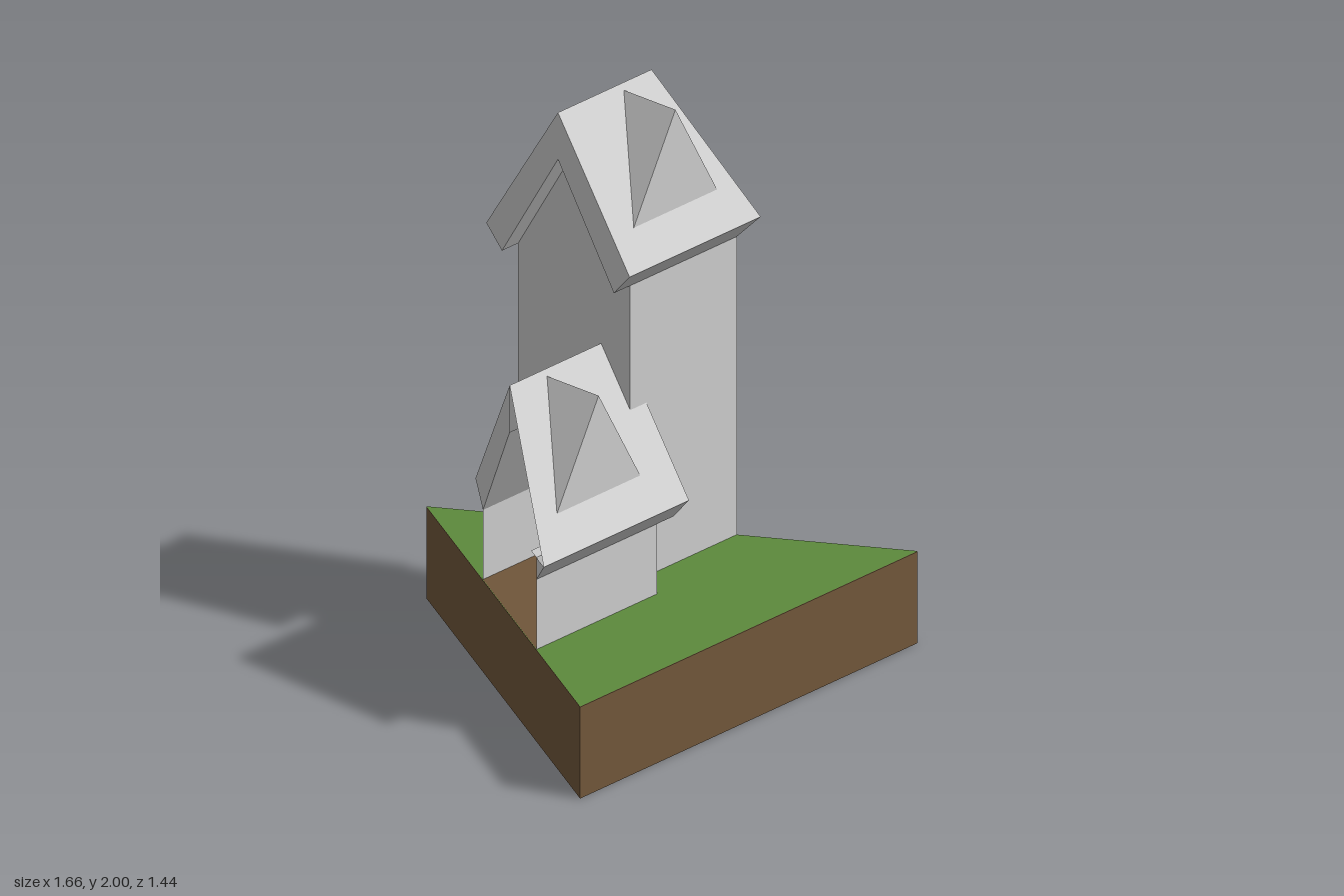
import * as THREE from 'three';

const mat = (color) => new THREE.MeshStandardMaterial({ color, flatShading: true, side: THREE.DoubleSide });
const grey = mat(0xcccccc), brown = mat(0x70563a), green = mat(0x5c8a3c);
const GROUND = 0.333, BACK = -0.72, FRONT = 0.72, SLOPE = 0.83 / 1.44;

// half width of the triangular plot at depth z: everything is sliced off there
const cut = (z) => SLOPE * (z - BACK);

// flat sheets, each a convex loop of [x, y, z] corners
function sheets(name, loops, material = grey) {
  const pos = [];
  for (const p of loops)
    for (let i = 1; i < p.length - 1; i++) pos.push(...p[0], ...p[i], ...p[i + 1]);
  const geo = new THREE.BufferGeometry();
  geo.setAttribute('position', new THREE.Float32BufferAttribute(pos, 3));
  geo.computeVertexNormals();
  const mesh = new THREE.Mesh(geo, material);
  mesh.name = name;
  return mesh;
}

// side: +1 or -1, zc: ridge depth, top: ridge height, dormerX: dormer centre (outward),
// backEnd: inner end of the rear roof slope, wallFrom: rear limit of the inner side wall
function building(name, { side, zc, top, dormerX, backEnd, wallFrom }) {
  const g = new THREE.Group();
  g.name = name;
  const P = (a, y, z) => [side * a, y, z];
  const end = -0.08, eaveY = top - 0.5, lowY = top - 0.58, innerY = top - 0.17;
  const zf = zc + 0.25, zb = zc - 0.25, ze = zc + 0.32, zr = zc - 0.32;
  const under = (z) => innerY - (Math.abs(z - zc) * (innerY - lowY)) / 0.25;

  // thin walls, open on the sliced side
  g.add(sheets('frontWall', [[P(0, GROUND, zf), P(cut(zf), GROUND, zf), P(cut(zf), eaveY, zf), P(0, eaveY, zf)]]));
  g.add(sheets('backWall', [[P(0, GROUND, zb), P(cut(zb), GROUND, zb), P(cut(zb), lowY, zb), P(0, lowY, zb)]]));
  const wall = [P(0, GROUND, zf), P(0, lowY, zf)];
  if (wallFrom < zc) wall.push(P(0, innerY, zc));
  wall.push(P(0, under(wallFrom), wallFrom), P(0, GROUND, wallFrom));
  g.add(sheets('sideWall', [wall]));
  g.add(sheets('wallLedge', [[P(0, eaveY, zf), P(cut(zf), eaveY, zf), P(cut(zf - 0.05), eaveY, zf - 0.05), P(0, eaveY, zf - 0.05)]]));
  const fy = GROUND + 0.004;
  g.add(sheets('floor', [[P(0, fy, zf), P(cut(zf), fy, zf), P(cut(zb), fy, zb), P(0, fy, zb)]], brown));

  // front slope with a triangular opening under the dormer
  const onSlope = (y) => zc + ((top - y) * 0.32) / 0.5;
  const dBase = top - 0.38, dTop = top - 0.02, half = 0.205;
  const V = (a, y) => new THREE.Vector2(side * a, y);
  const shape = new THREE.Shape([V(end, eaveY), V(cut(ze), eaveY), V(cut(zc), top), V(end, top)]);
  const corners = [V(dormerX - half, dBase), V(dormerX + half, dBase), V(dormerX, dTop)];
  shape.holes.push(new THREE.Path(corners));
  const slope = new THREE.ShapeGeometry(shape);
  const p = slope.attributes.position;
  for (let i = 0; i < p.count; i++) p.setZ(i, onSlope(p.getY(i)));
  slope.computeVertexNormals();
  const front = new THREE.Mesh(slope, grey);
  front.name = 'frontRoofSlope';
  g.add(front);

  // front eave, overhang underside and end board
  g.add(sheets('frontEave', [
    [P(end, eaveY, ze), P(cut(ze), eaveY, ze), P(cut(zf), lowY, zf), P(end, lowY, zf)],
    [P(end, lowY, zf), P(0, lowY, zf), P(0, innerY, zc), P(end, innerY, zc)],
    [P(cut(ze), eaveY, ze), P(cut(zf), lowY, zf), P(cut(zf), eaveY, zf)],
    [P(end, eaveY, ze), P(end, lowY, zf), P(end, innerY, zc), P(end, top, zc)],
  ]));

  // rear slope: a closed slab
  const profile = [[top, zc], [eaveY, zr], [lowY, zb], [innerY, zc]];
  const inner = profile.map(([y, z]) => P(backEnd, y, z));
  const outer = profile.map(([y, z]) => P(cut(z), y, z));
  const slab = [inner, outer];
  for (let i = 0; i < 3; i++) slab.push([inner[i], inner[i + 1], outer[i + 1], outer[i]]);
  g.add(sheets('backRoofSlope', slab));

  // dormer: upright triangle with two roof faces running back to the main slope
  const dz = onSlope(dBase);
  const left = P(dormerX - half, dBase, dz), right = P(dormerX + half, dBase, dz);
  const peak = P(dormerX, dTop, dz), rear = P(dormerX, dTop, onSlope(dTop));
  g.add(sheets('dormer', [[left, right, peak], [left, peak, rear], [right, rear, peak]]));
  return g;
}

export function createModel() {
  const model = new THREE.Group();
  model.name = 'house';

  // triangular block of earth with grass on top
  const w = cut(FRONT);
  const plot = new THREE.Shape([[-w, -FRONT], [w, -FRONT], [0, -BACK]].map(([x, y]) => new THREE.Vector2(x, y)));
  const earth = new THREE.Mesh(new THREE.ExtrudeGeometry(plot, { depth: GROUND, bevelEnabled: false }).rotateX(-Math.PI / 2), brown);
  earth.name = 'earth';
  const grass = new THREE.Mesh(new THREE.ShapeGeometry(plot).rotateX(-Math.PI / 2), green);
  grass.name = 'grass';
  grass.position.y = GROUND + 0.002;
  model.add(earth, grass);

  model.add(building('tower', { side: 1, zc: -0.06, top: 2, dormerX: 0.23, backEnd: -0.08, wallFrom: -0.31 }));
  model.add(building('lowHouse', { side: -1, zc: 0.06, top: 1.17, dormerX: 0.28, backEnd: 0, wallFrom: 0.19 }));
  return model;
}
